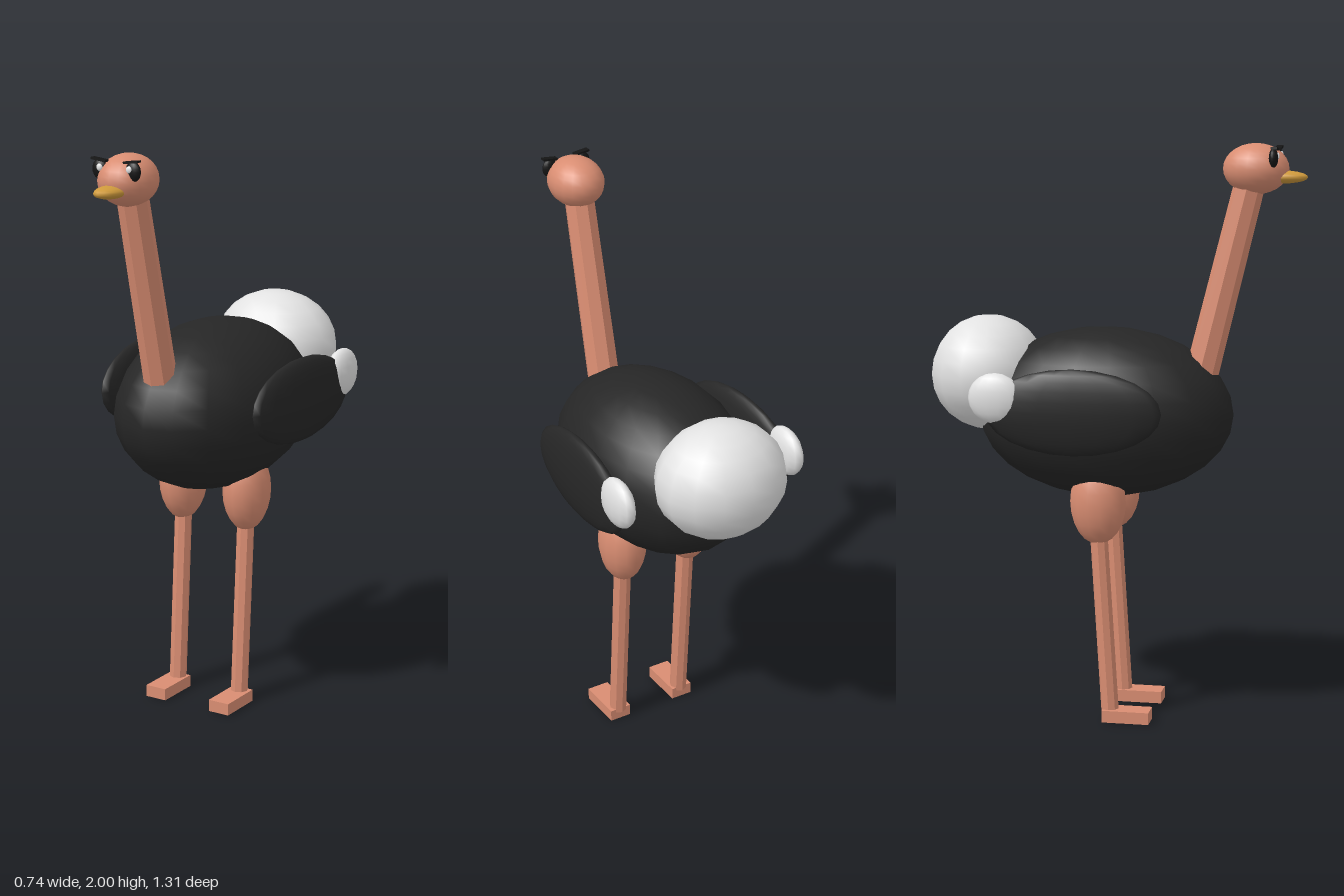
import * as THREE from 'three';

const mat = (name, color) => {
  const m = new THREE.MeshStandardMaterial({ color });
  m.name = name;
  return m;
};

export function createModel() {
  const skin = mat('salmon skin', 0xd98d72);
  const black = mat('black feathers', 0x262626);
  const white = mat('white feathers', 0xe2e2e2);
  const gold = mat('golden beak', 0xcf9a3c);
  const eyeBlack = mat('eye black', 0x151515);
  const eyeWhite = mat('eye white', 0xf4f4f4);

  const model = new THREE.Group();
  model.name = 'ostrich';

  const add = (name, geometry, material, pos) => {
    const mesh = new THREE.Mesh(geometry, material);
    mesh.name = name;
    mesh.position.set(...pos);
    model.add(mesh);
    return mesh;
  };

  // Smooth ellipsoid with a vertex column facing front
  const ellipsoid = (name, material, pos, radii, segs = 14, rings = 10) =>
    add(name, new THREE.SphereGeometry(1, segs, rings).rotateY(Math.PI / 2).scale(...radii), material, pos);

  // Flat-faced tapered limb between two points
  const limb = (name, material, from, to, rFrom, rTo) => {
    const a = new THREE.Vector3(...from), b = new THREE.Vector3(...to);
    const dir = b.clone().sub(a);
    let geo = new THREE.CylinderGeometry(rTo, rFrom, dir.length(), 8).toNonIndexed();
    geo.computeVertexNormals();
    const mesh = add(name, geo, material, a.add(b).multiplyScalar(0.5).toArray());
    mesh.quaternion.setFromUnitVectors(new THREE.Vector3(0, 1, 0), dir.normalize());
    return mesh;
  };

  // Body and tail
  ellipsoid('body', black, [0, 1.072, -0.04], [0.295, 0.295, 0.45], 18, 14);
  ellipsoid('tail', white, [0, 1.2, -0.455], [0.23, 0.2, 0.2], 14, 12);

  // Neck, head and beak
  limb('neck', skin, [0, 1.2, 0.295], [0, 1.88, 0.462], 0.058, 0.053);
  ellipsoid('head', skin, [0, 1.915, 0.479], [0.095, 0.086, 0.113], 18, 14);
  ellipsoid('beak', gold, [0, 1.888, 0.57], [0.046, 0.022, 0.085]);

  for (const s of [1, -1]) {
    const side = s > 0 ? 'left' : 'right';

    // Eye with glint and lash
    ellipsoid(side + 'Eye', eyeBlack, [s * 0.064, 1.953, 0.545], [0.028, 0.033, 0.016]);
    ellipsoid(side + 'EyeGlint', eyeWhite, [s * 0.057, 1.96, 0.558], [0.011, 0.012, 0.007], 10, 8);
    const lash = add(side + 'Lash', new THREE.BoxGeometry(0.055, 0.007, 0.022), eyeBlack, [s * 0.062, 1.984, 0.549]);
    lash.rotation.z = s * 0.12;

    // Wing with pale tip
    const wing = ellipsoid(side + 'Wing', black, [s * 0.318, 1.113, -0.09], [0.042, 0.147, 0.3], 16, 12);
    wing.rotation.y = s * -0.04;
    ellipsoid(side + 'WingTip', white, [s * 0.33, 1.157, -0.352], [0.039, 0.086, 0.094]);

    // Thigh, shank and foot
    ellipsoid(side + 'Thigh', skin, [s * 0.132, 0.775, -0.04], [0.08, 0.147, 0.098], 14, 12);
    limb(side + 'Shank', skin, [s * 0.13, 0.03, 0.002], [s * 0.13, 0.7, -0.04], 0.031, 0.031);
    add(side + 'Foot', new THREE.BoxGeometry(0.08, 0.042, 0.165), skin, [s * 0.132, 0.021, 0.062]);
  }

  return model;
}
